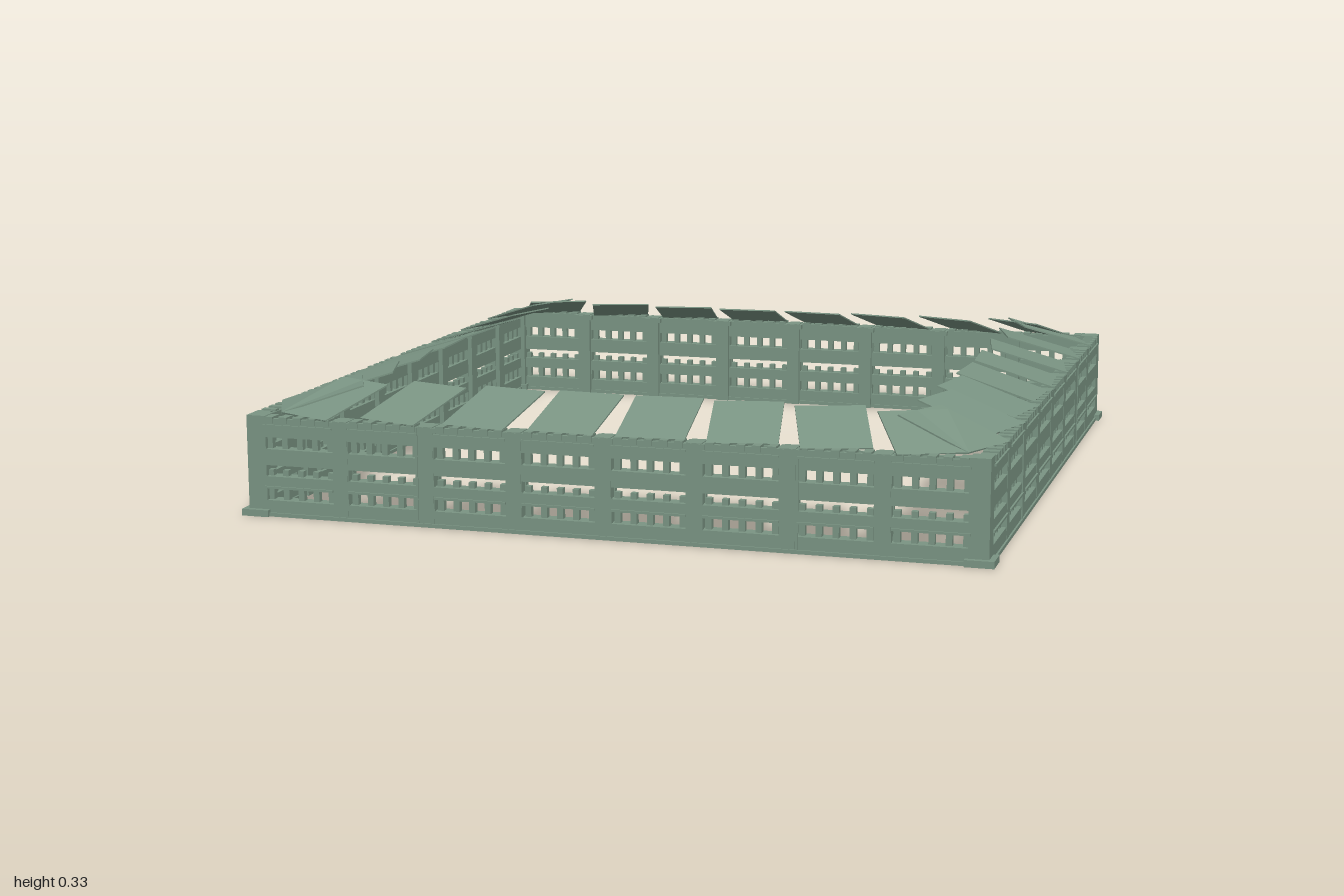
import * as THREE from 'three';
import { mergeGeometries } from 'three/addons/utils/BufferGeometryUtils.js';

const green = new THREE.MeshStandardMaterial({ color: 0x7a9483 });
green.name = 'sage green';

const OUT = 0.985;          // outer wall face
const TOP = 0.262;          // wall height
const BAY = 0.24;           // bay pitch
const ROWS = [[0.043, 0.075], [0.107, 0.137], [0.18, 0.212]];   // slot heights
const BAYS = [-3.5, -2.5, -1.5, -0.5, 0.5, 1.5, 2.5, 3.5].map(i => i * BAY);

// box given by its min and max on each axis
function box(x0, x1, y0, y1, z0, z1) {
  return new THREE.BoxGeometry(x1 - x0, y1 - y0, z1 - z0)
    .translate((x0 + x1) / 2, (y0 + y1) / 2, (z0 + z1) / 2);
}

function part(name, geometry) {
  const mesh = new THREE.Mesh(geometry, green);
  mesh.name = name;
  return mesh;
}

// wall sheet pierced by three rows of slots
function skin(z, depth, halfLength) {
  const shape = new THREE.Shape();
  shape.moveTo(-halfLength, 0).lineTo(halfLength, 0).lineTo(halfLength, TOP).lineTo(-halfLength, TOP).closePath();
  for (const x of BAYS) for (const [y0, y1] of ROWS) {
    const hole = new THREE.Path();
    hole.moveTo(x - 0.098, y0).lineTo(x - 0.098, y1).lineTo(x + 0.098, y1).lineTo(x + 0.098, y0).closePath();
    shape.holes.push(hole);
  }
  return new THREE.ExtrudeGeometry(shape, { depth, bevelEnabled: false }).translate(0, 0, z);
}

// one side of the enclosure, facing +z
function createSide() {
  const side = new THREE.Group();
  side.add(part('outerWall', skin(OUT - 0.012, 0.012, OUT)));
  side.add(part('innerWall', skin(0.945, 0.01, 0.95)));

  // floors above and below each slot row, the cap and the base strip
  const floors = [box(-0.96, 0.96, 0.25, 0.258, 0.95, 0.98), box(-OUT, OUT, 0, 0.01, 0.94, 0.99)];
  for (const [y0, y1] of ROWS) {
    floors.push(box(-0.96, 0.96, y0 - 0.008, y0, 0.95, 0.98));
    floors.push(box(-0.96, 0.96, y1, y1 + 0.008, 0.95, 0.98));
  }
  side.add(part('floors', mergeGeometries(floors)));

  // small pillars standing in the slots
  const pillars = [];
  for (const x of BAYS) ROWS.forEach(([y0, y1], row) => {
    const top = row === 1 ? y0 + 0.016 : y1;
    for (let i = -2; i <= 2; i++) {
      const px = x + i * 0.043;
      pillars.push(box(px - 0.008, px + 0.008, y0, top, 0.955, 0.972));
    }
  });
  side.add(part('pillars', mergeGeometries(pillars)));

  // posts between the bays
  const posts = [];
  for (let i = -3; i <= 3; i++) {
    const x = i * BAY;
    posts.push(box(x - 0.02, x + 0.02, 0, TOP + 0.002, 0.932, OUT + 0.001));
    posts.push(box(x - 0.028, x + 0.028, TOP - 0.014, TOP, 0.928, OUT + 0.002));
  }
  side.add(part('bayPosts', mergeGeometries(posts)));

  // sills and teeth along the face
  const trim = [];
  for (const x of BAYS) {
    for (const y of [0.075, 0.24]) trim.push(box(x - 0.098, x + 0.098, y, y + 0.006, OUT - 0.01, OUT + 0.005));
    for (let i = -2; i <= 2; i++) {
      const tx = x + i * 0.04;
      trim.push(box(tx - 0.011, tx + 0.011, TOP - 0.012, TOP + 0.005, 0.948, OUT + 0.003));
    }
  }
  side.add(part('wallTrim', mergeGeometries(trim)));

  // seams between wall sections
  for (const x of [-0.505, 0.505]) {
    side.add(part('wallSeam', box(x - 0.003, x + 0.003, 0, TOP, OUT - 0.002, OUT + 0.003)));
  }

  // roof panels rising inward, fanned towards the centre
  const slope = Math.atan2(0.066, 0.216);
  for (const s of [-1, 1]) for (let i = 0; i < 4; i++) {
    const panel = part('roofPanel', new THREE.BoxGeometry(0.18, 0.004, 0.226));
    panel.position.set(s * (0.113 + i * 0.226), 0.298, 0.863 - i * 0.002);
    panel.rotation.set(slope, s * THREE.MathUtils.degToRad(3.6 + i * 7.2), 0, 'YXZ');
    side.add(panel);
  }

  // corner post on its plinth
  side.add(part('cornerPost', box(0.932, OUT, 0, 0.268, 0.932, OUT)));
  side.add(part('cornerPlinth', box(0.925, 1, 0, 0.018, 0.925, 1)));
  return side;
}

export function createModel() {
  const model = new THREE.Group();
  model.name = 'enclosure';
  ['frontSide', 'leftSide', 'backSide', 'rightSide'].forEach((name, i) => {
    const side = createSide();
    side.name = name;
    side.rotation.y = i * Math.PI / 2;
    model.add(side);
  });
  return model;
}
